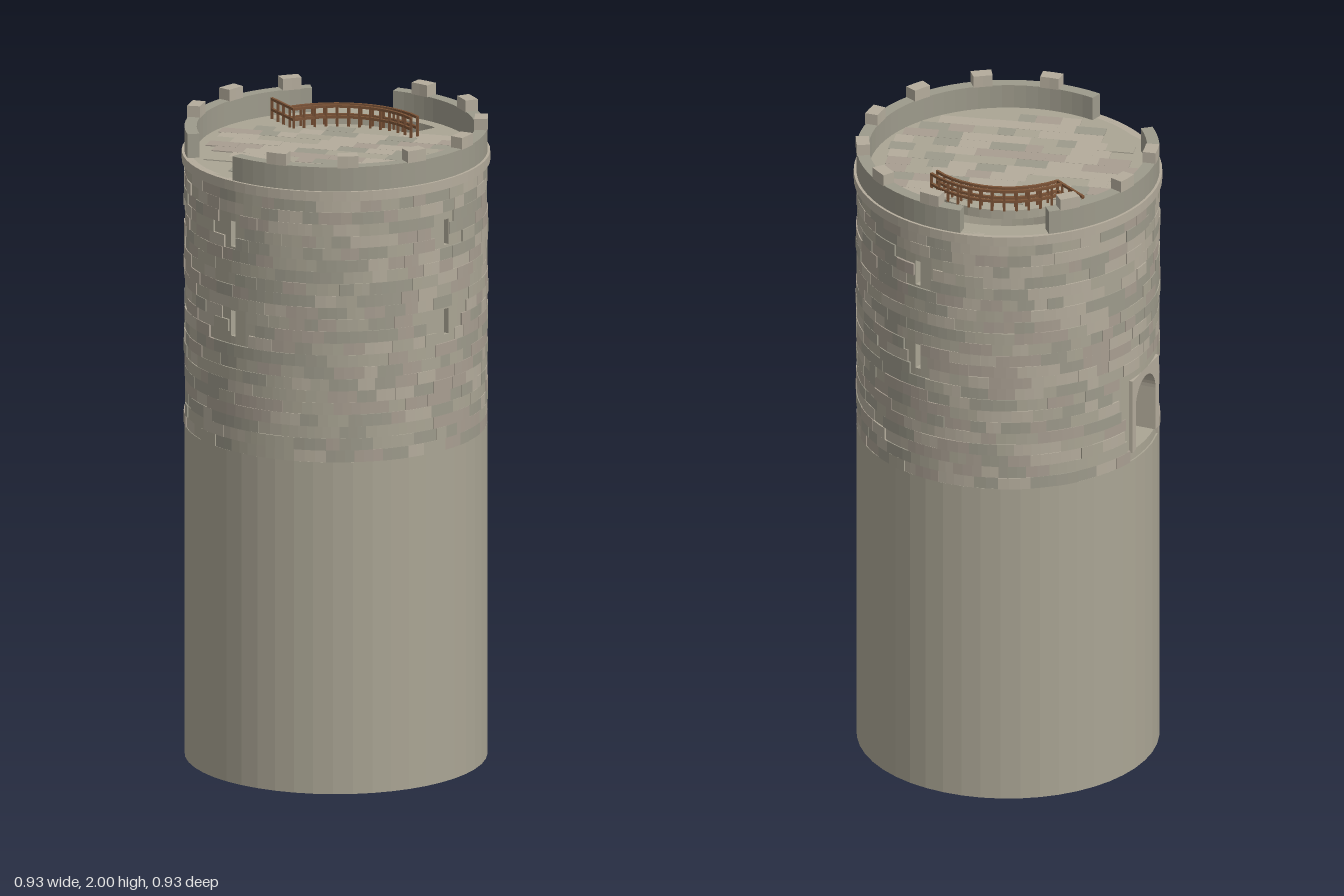
import * as THREE from 'three';
import { mergeGeometries } from 'three/addons/utils/BufferGeometryUtils.js';

const rad = THREE.MathUtils.degToRad;
const STONE = [0xaaa594, 0xb4ac9c, 0x9d9a8b, 0xa89e91];

// Ring sector; azimuth in degrees measured from +z towards +x
function sector(r0, r1, y0, y1, a0, a1) {
  const n = Math.max(1, Math.ceil((a1 - a0) / 5));
  const pts = [];
  const add = (r, a) => pts.push(new THREE.Vector2(r * Math.sin(rad(a)), -r * Math.cos(rad(a))));
  for (let i = 0; i <= n; i++) add(r1, a0 + (a1 - a0) * i / n);
  for (let i = n; i >= 0; i--) add(r0, a0 + (a1 - a0) * i / n);
  const g = new THREE.ExtrudeGeometry(new THREE.Shape(pts), { depth: y1 - y0, bevelEnabled: false });
  return g.rotateX(-Math.PI / 2).translate(0, y0, 0);
}

const ring = (r0, r1, y0, y1) => [sector(r0, r1, y0, y1, 0, 180), sector(r0, r1, y0, y1, 180, 360)];
const polar = (r, y, a) => new THREE.Vector3(r * Math.sin(rad(a)), y, r * Math.cos(rad(a)));

// Square bar between two points
function bar(p, q, t) {
  const d = q.clone().sub(p);
  const g = new THREE.BoxGeometry(t, t, d.length() + t * 0.5);
  const up = Math.abs(d.y) > 0.9 * d.length() ? new THREE.Vector3(1, 0, 0) : new THREE.Vector3(0, 1, 0);
  const m = new THREE.Matrix4().lookAt(q, p, up);
  return g.applyMatrix4(m).translate((p.x + q.x) / 2, (p.y + q.y) / 2, (p.z + q.z) / 2);
}

// Openings in the upper wall: azimuth range and height ranges
const DOOR = 257;
const openings = [63.5, 153.5, 333].map(a => ({ a0: a - 1.2, a1: a + 1.2, ys: [[1.4, 1.48], [1.68, 1.76]] }));
openings.splice(2, 0, { a0: DOOR - 12.7, a1: DOOR + 12.7, ys: [[1.07, 1.31]] });

const WELL = [145, 226];
const FLOOR = 1.89;

export function createModel() {
  const model = new THREE.Group();
  let seed = 7;
  const rnd = () => (seed = (seed * 16807) % 2147483647) / 2147483647;

  const addMesh = (name, geos, color) => {
    const list = geos.map(g => (g.index ? g.toNonIndexed() : g));
    const mesh = new THREE.Mesh(mergeGeometries(list), new THREE.MeshStandardMaterial({ color, flatShading: true }));
    mesh.name = name;
    model.add(mesh);
  };

  // Plain lower drum
  addMesh('lowerDrum', [new THREE.CylinderGeometry(0.457, 0.457, 1.04, 48).translate(0, 0.52, 0)], STONE[0]);

  // Hollow upper wall, split around the openings
  const wall = [];
  openings.forEach((o, i) => {
    const next = openings[(i + 1) % openings.length];
    const end = next.a0 > o.a1 ? next.a0 : next.a0 + 360;
    wall.push(sector(0.385, 0.452, 1.04, FLOOR, o.a1, end));
    let y = 1.04;
    for (const [b, t] of [...o.ys, [FLOOR, FLOOR]]) {
      wall.push(sector(0.385, 0.452, y, b, o.a0, o.a1));
      y = t;
    }
  });
  addMesh('upperWall', wall, STONE[0]);

  // Uneven facing stones in courses
  const stones = STONE.map(() => []);
  const rows = 22, rowH = (1.86 - 1.04) / rows;
  for (let r = 0; r < rows; r++) {
    const y0 = 1.04 + r * rowH, y1 = y0 + rowH;
    const start = rnd() * 10;
    for (let a = start; a < start + 359;) {
      let b = a + 5 + rnd() * 8;
      if (b > start + 355) b = start + 360;
      const blocked = openings.some(o => [-360, 0, 360].some(s => a < o.a1 + s && b > o.a0 + s) &&
        o.ys.some(([lo, hi]) => y0 < hi && y1 > lo));
      const tone = Math.floor(rnd() * 4), out = 0.4545 + rnd() * 0.005;
      if (!blocked) stones[tone].push(sector(0.445, out, y0, y1, a, b));
      a = b;
    }
  }
  stones.forEach((g, i) => addMesh('facingStones' + (i + 1), g, STONE[i]));

  // Arched door surround
  const arch = new THREE.Shape();
  arch.moveTo(-0.1, 0).lineTo(-0.1, 0.24).lineTo(0.1, 0.24).lineTo(0.1, 0).lineTo(0.075, 0).lineTo(0.075, 0.14);
  arch.absarc(0, 0.14, 0.075, 0, Math.PI, false);
  arch.lineTo(-0.075, 0);
  const doorway = new THREE.ExtrudeGeometry(arch, { depth: 0.08, bevelEnabled: false, curveSegments: 10 });
  addMesh('doorSurround', [doorway.translate(0, 1.07, 0.372).rotateY(rad(DOOR))], STONE[1]);

  // Moulded band below the parapet
  addMesh('stringBand', ring(0.44, 0.465, 1.86, FLOOR), STONE[1]);

  // Parapet with two breaches, and merlons on what remains
  const breaches = [[172, 206], [298, 333]];
  addMesh('parapet', [sector(0.42, 0.457, FLOOR, 1.965, 206, 298), sector(0.42, 0.457, FLOOR, 1.965, 333, 532)], STONE[2]);
  const merlons = [];
  for (let k = 0; k < 13; k++) {
    const a = (353 + k * 360 / 13) % 360;
    if (breaches.some(([lo, hi]) => a > lo - 4 && a < hi + 3)) continue;
    merlons.push(sector(0.419, 0.459, 1.963, 2, a - 4, a + 4));
  }
  addMesh('merlons', merlons, STONE[1]);

  // Roof deck with the stairwell left open
  addMesh('roofDeck', [
    new THREE.CylinderGeometry(0.28, 0.28, 0.03, 48).translate(0, FLOOR - 0.015, 0),
    sector(0.279, 0.386, FLOOR - 0.03, FLOOR, WELL[1], WELL[0] + 360),
  ], STONE[0]);

  // Thin paving slabs on the deck
  const slabs = STONE.map(() => []);
  for (let row = 0; row < 16; row++) {
    const z = -0.38 + row * 0.05;
    for (let x = -0.42 + rnd() * 0.05; x < 0.4;) {
      const w = 0.05 + rnd() * 0.06;
      const fits = [[x, z], [x + w, z], [x, z + 0.05], [x + w, z + 0.05]].every(([px, pz]) => {
        const r = Math.hypot(px, pz), a = (Math.atan2(px, pz) * 180 / Math.PI + 360) % 360;
        return r < 0.418 && !(r > 0.275 && a > WELL[0] - 2 && a < WELL[1] + 2);
      });
      const tone = Math.floor(rnd() * 4);
      if (fits) slabs[tone].push(new THREE.BoxGeometry(w, 0.004, 0.05).translate(x + w / 2, FLOOR + 0.0005 + rnd() * 0.001, z + 0.025));
      x += w;
    }
  }
  slabs.forEach((g, i) => addMesh('pavingSlabs' + (i + 1), g, STONE[i]));

  // Curved stair descending inside the wall
  const steps = [];
  for (let i = 0; i < 17; i++) {
    const top = FLOOR - 0.02 - i * 0.046;
    steps.push(sector(0.25, 0.387, Math.max(1.04, top - 0.06), top, WELL[0] + i * 5.8, WELL[0] + (i + 1) * 5.8));
  }
  addMesh('stairSteps', steps, STONE[1]);

  // Wooden guard rails around the stairwell
  const rails = [];
  const fence = (pts, top) => pts.forEach((p, i) => {
    rails.push(bar(p, p.clone().setY(top), 0.007));
    if (i === 0) return;
    for (const y of [FLOOR + 0.03, top]) rails.push(bar(pts[i - 1].clone().setY(y), p.clone().setY(y), 0.008));
  });
  const arc = (r, a0, a1, n) => Array.from({ length: n + 1 }, (_, i) => polar(r, FLOOR, a0 + (a1 - a0) * i / n));
  fence(arc(0.28, 135, 226, 12), 1.953);
  fence(arc(0.256, 134, 226, 12), 1.953);
  fence([0.256, 0.28, 0.317, 0.352, 0.387].map(r => polar(r, FLOOR, 226)), 1.953);
  addMesh('guardRails', rails, 0x7a5236);

  return model;
}
